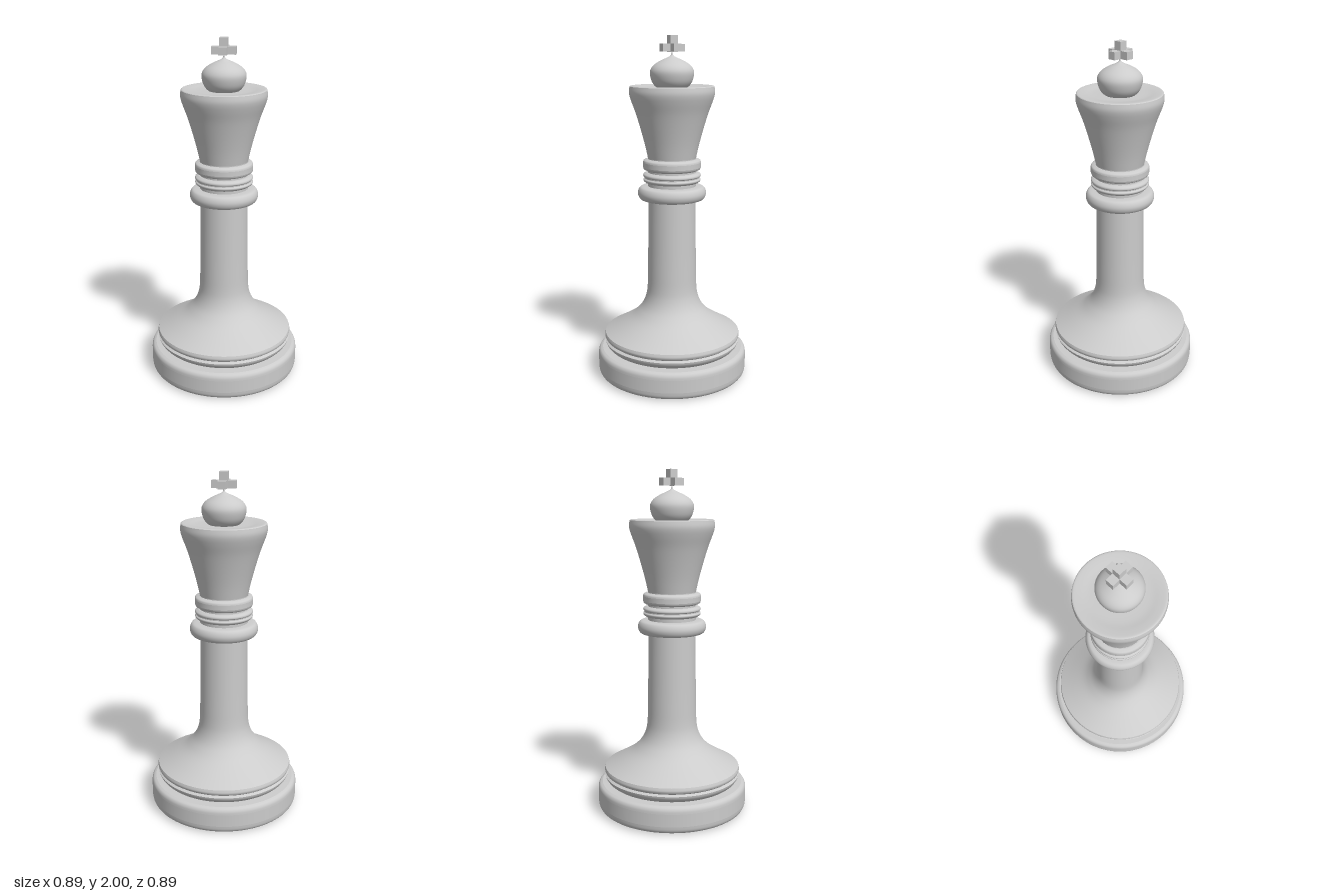
import * as THREE from 'three';

const material = new THREE.MeshStandardMaterial({ color: 0xcccccc });
const SEGMENTS = 96;

// Revolve [radius, height] points; each run is smooth, edges between runs stay sharp.
function turned(name, runs) {
  const group = new THREE.Group();
  group.name = name;
  runs.forEach((run, i) => {
    let pts = run.map(([r, y]) => new THREE.Vector2(r, y));
    if (pts.length > 2) {
      pts = new THREE.SplineCurve(pts).getPoints((pts.length - 1) * 5);
      pts.forEach((p) => { p.x = Math.max(p.x, 0); });
    }
    const mesh = new THREE.Mesh(new THREE.LatheGeometry(pts, SEGMENTS), material);
    mesh.name = `${name}Surface${i + 1}`;
    group.add(mesh);
  });
  return group;
}

export function createModel() {
  const model = new THREE.Group();
  model.name = 'chessKing';

  // Wide foot with rounded rims
  model.add(turned('foot', [
    [[0, 0], [0.41, 0]],
    [[0.41, 0], [0.43, 0.01], [0.441, 0.026], [0.445, 0.05]],
    [[0.445, 0.05], [0.445, 0.125]],
    [[0.445, 0.125], [0.443, 0.143], [0.435, 0.157], [0.42, 0.165]],
    [[0.42, 0.165], [0.37, 0.167]],
  ]));

  // Grooved moulding above the foot
  model.add(turned('footMoulding', [
    [[0.37, 0.167], [0.385, 0.178], [0.398, 0.195], [0.403, 0.21]],
    [[0.403, 0.21], [0.388, 0.219]],
    [[0.388, 0.219], [0.4, 0.228]],
    [[0.4, 0.228], [0.405, 0.242], [0.401, 0.26]],
  ]));

  // Flared skirt sweeping into the column
  model.add(turned('column', [
    [[0.401, 0.26], [0.33, 0.3], [0.25, 0.35], [0.205, 0.39], [0.175, 0.43], [0.155, 0.48],
      [0.146, 0.54], [0.143, 0.65], [0.14, 0.85], [0.137, 1.075]],
  ]));

  // Rounded collar
  model.add(turned('collar', [
    [[0.13, 1.065], [0.175, 1.067], [0.192, 1.08], [0.199, 1.105],
      [0.192, 1.13], [0.175, 1.143], [0.13, 1.147]],
  ]));

  // Two stacked neck rings and the waists between them
  model.add(turned('neck', [[[0.14, 1.14], [0.14, 1.31]]]));
  model.add(turned('lowerRing', [
    [[0.13, 1.165], [0.155, 1.168]],
    [[0.155, 1.168], [0.165, 1.177], [0.167, 1.186], [0.16, 1.193]],
    [[0.16, 1.193], [0.16, 1.199]],
    [[0.16, 1.199], [0.167, 1.205], [0.165, 1.216], [0.15, 1.225]],
    [[0.15, 1.225], [0.13, 1.227]],
  ]));
  model.add(turned('upperRing', [
    [[0.13, 1.236], [0.15, 1.238]],
    [[0.15, 1.238], [0.163, 1.245], [0.168, 1.257]],
    [[0.168, 1.257], [0.168, 1.285]],
    [[0.168, 1.285], [0.163, 1.297], [0.145, 1.305]],
    [[0.145, 1.305], [0.12, 1.307]],
  ]));

  // Flaring head with a shallow dished top
  model.add(turned('head', [
    [[0.137, 1.3], [0.156, 1.385], [0.18, 1.475], [0.207, 1.565], [0.231, 1.63],
      [0.242, 1.665], [0.245, 1.69], [0.241, 1.717]],
    [[0.241, 1.717], [0.232, 1.721], [0.2, 1.718], [0.15, 1.711], [0.07, 1.71]],
  ]));

  // Onion dome drawn up to a thin tip
  model.add(turned('dome', [
    [[0.08, 1.705], [0.1, 1.722], [0.116, 1.748], [0.125, 1.785], [0.121, 1.812],
      [0.102, 1.837], [0.066, 1.86], [0.03, 1.876], [0.007, 1.89], [0.003, 1.915]],
  ]));

  // Finial cross with arms along both horizontal axes
  const cross = new THREE.Group();
  cross.name = 'finialCross';
  cross.position.set(-0.001, 0, -0.003);
  const bar = (name, w, h, d, y) => {
    const mesh = new THREE.Mesh(new THREE.BoxGeometry(w, h, d), material);
    mesh.name = name;
    mesh.position.y = y;
    cross.add(mesh);
  };
  bar('crossPost', 0.046, 0.092, 0.046, 1.954);
  bar('crossArmSide', 0.137, 0.043, 0.046, 1.9305);
  bar('crossArmDepth', 0.046, 0.043, 0.137, 1.9305);
  model.add(cross);

  return model;
}
